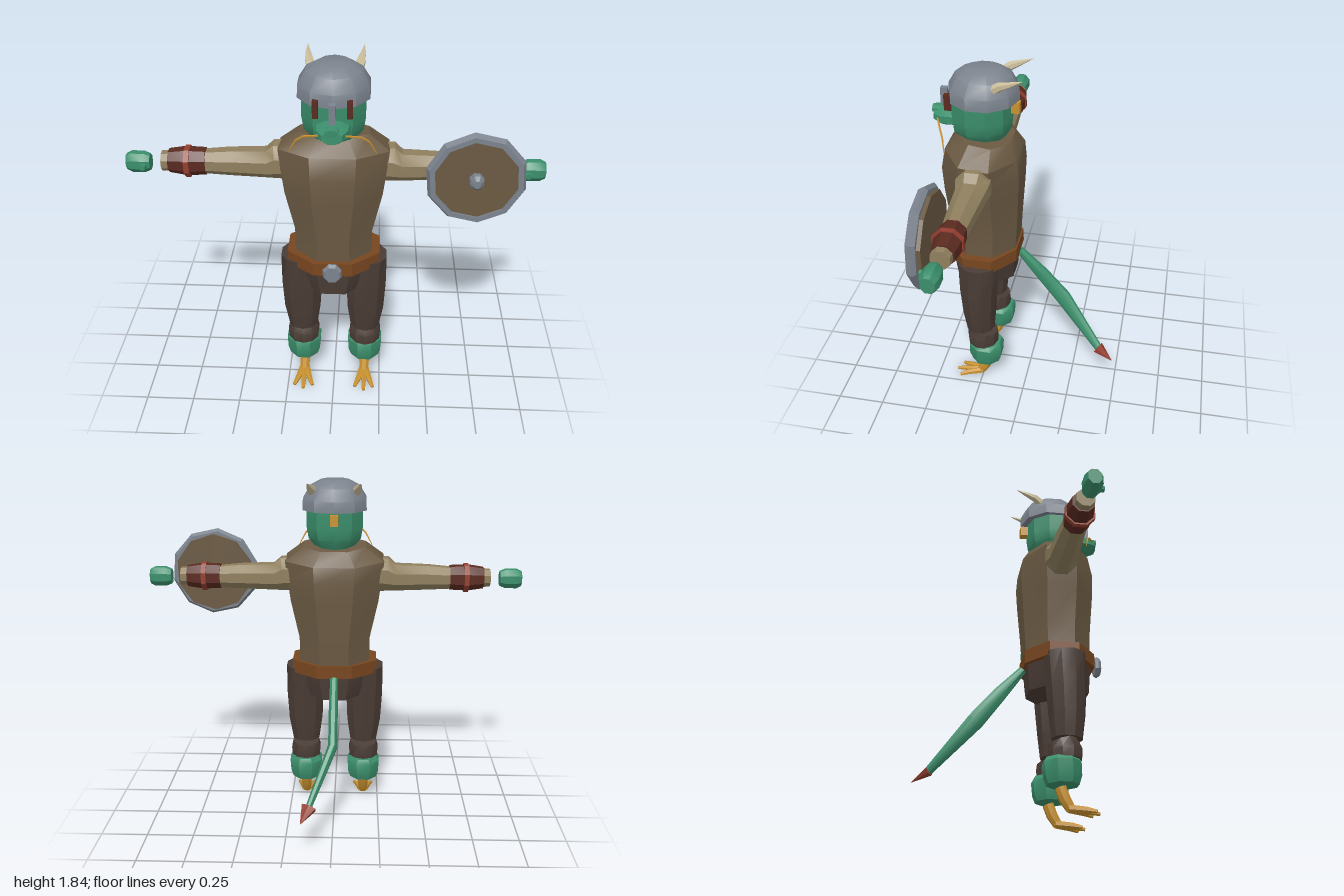
import * as THREE from 'three';
import { toCreasedNormals } from 'three/addons/utils/BufferGeometryUtils.js';

const mat = (name, color) => Object.assign(new THREE.MeshStandardMaterial({ color }), { name });

// Closed loft through rings [x, y, z, radiusU, radiusV]; "ref" roughly gives the U direction.
function loft(rings, sides = 8, ref = [1, 0, 0], crease = 0.6) {
  const P = rings.map(r => new THREE.Vector3(r[0], r[1], r[2]));
  const pos = [], idx = [];
  const half = Math.PI / sides;
  const fit = sides === 8 ? 1 / Math.cos(half) : 1;
  rings.forEach((r, i) => {
    const t = P[Math.min(i + 1, P.length - 1)].clone().sub(P[Math.max(i - 1, 0)]).normalize();
    const u = new THREE.Vector3(...ref);
    u.addScaledVector(t, -u.dot(t)).normalize();
    const v = t.clone().cross(u);
    for (let j = 0; j < sides; j++) {
      const a = half * (2 * j + 1);
      const p = P[i].clone()
        .addScaledVector(u, Math.cos(a) * r[3] * fit)
        .addScaledVector(v, Math.sin(a) * (r[4] ?? r[3]) * fit);
      pos.push(p.x, p.y, p.z);
    }
  });
  const n = rings.length, c0 = n * sides, c1 = c0 + 1;
  pos.push(...P[0].toArray(), ...P[n - 1].toArray());
  for (let j = 0; j < sides; j++) {
    const k = (j + 1) % sides;
    for (let i = 0; i < n - 1; i++) {
      const a = i * sides + j, b = i * sides + k;
      idx.push(a, b, b + sides, a, b + sides, a + sides);
    }
    idx.push(c0, k, j, c1, (n - 1) * sides + j, (n - 1) * sides + k);
  }
  const g = new THREE.BufferGeometry();
  g.setAttribute('position', new THREE.Float32BufferAttribute(pos, 3));
  g.setIndex(idx);
  return toCreasedNormals(g, crease);
}

export function createModel() {
  const model = new THREE.Group();
  model.name = 'lizardWarrior';
  const M = {
    tunic: mat('tunic brown', 0x6b5a43),
    sleeve: mat('sleeve tan', 0x8f7f5e),
    pants: mat('trouser brown', 0x4a3c35),
    skin: mat('skin green', 0x3b8f6c),
    steel: mat('steel grey', 0x7c838d),
    belt: mat('belt leather', 0x78461f),
    bracer: mat('bracer dark red', 0x5a2a20),
    red: mat('red trim', 0x943f30),
    yellow: mat('claw yellow', 0xc8912f),
    horn: mat('horn ivory', 0xcabd9a),
  };
  const add = (name, geo, m) => {
    const mesh = new THREE.Mesh(geo, m);
    mesh.name = name;
    model.add(mesh);
    return mesh;
  };
  const box = (name, m, w, h, d, x, y, z) =>
    add(name, new THREE.BoxGeometry(w, h, d), m).position.set(x, y, z);

  // Torso, belt and hips
  add('torso', loft([
    [0, 0.84, 0.235, 0.19, 0.165], [0, 1.0, 0.235, 0.19, 0.175], [0, 1.21, 0.237, 0.235, 0.19],
    [0, 1.33, 0.237, 0.25, 0.195], [0, 1.43, 0.23, 0.262, 0.18], [0, 1.505, 0.22, 0.165, 0.13],
  ]), M.tunic);
  add('belt', loft([[0, 0.8, 0.242, 0.23, 0.183], [0, 0.872, 0.242, 0.23, 0.183]]), M.belt);
  add('buckle', loft([
    [0, 0.84, 0.443, 0.04, 0.046], [0, 0.84, 0.458, 0.046, 0.053], [0, 0.84, 0.475, 0.036, 0.042],
  ]), M.steel);
  add('hips', loft([[0, 0.665, 0.24, 0.15, 0.155], [0, 0.74, 0.24, 0.18, 0.16], [0, 0.83, 0.24, 0.2, 0.165]]), M.pants);

  // Head, snout and helmet
  add('head', loft([
    [0, 1.485, 0.24, 0.1, 0.115], [0, 1.54, 0.242, 0.145, 0.148],
    [0, 1.6, 0.242, 0.155, 0.155], [0, 1.72, 0.242, 0.155, 0.155],
  ], 10), M.skin);
  add('snout', loft([
    [0, 1.585, 0.36, 0.075, 0.045], [0, 1.583, 0.43, 0.072, 0.045], [0, 1.585, 0.475, 0.045, 0.03],
  ]), M.skin);
  add('nose', loft([[0, 1.615, 0.42, 0.035, 0.02], [0, 1.61, 0.485, 0.028, 0.018]]), M.skin);
  add('helmet', loft([
    [0, 1.69, 0.228, 0.175, 0.175], [0, 1.75, 0.228, 0.173, 0.173],
    [0, 1.81, 0.226, 0.135, 0.14], [0, 1.842, 0.226, 0.075, 0.085],
  ], 10), M.steel);
  box('noseGuard', M.steel, 0.03, 0.105, 0.035, 0, 1.672, 0.425);
  box('hairTie', M.yellow, 0.042, 0.055, 0.045, 0, 1.652, 0.075);

  for (const s of [1, -1]) {
    const side = s > 0 ? 'left' : 'right';
    const put = (name, m, rings, sides, ref) =>
      add(side + name, loft(rings.map(([x, ...r]) => [x * s, ...r]), sides, ref), m);

    // Face details and helmet horns
    box(side + 'Eye', M.bracer, 0.026, 0.08, 0.04, s * 0.077, 1.685, 0.385);
    put('Horn', M.horn, [
      [0.105, 1.775, 0.165, 0.026], [0.12, 1.808, 0.12, 0.022],
      [0.128, 1.825, 0.07, 0.013], [0.133, 1.845, 0.015, 0.001],
    ], 6);
    put('Whisker', M.yellow, [
      [0.06, 1.585, 0.45, 0.005], [0.13, 1.565, 0.42, 0.005], [0.165, 1.535, 0.4, 0.005], [0.2, 1.47, 0.385, 0.002],
    ], 5, [0, 0, 1]);

    // Arm: U runs along z, V along y
    const z = [0, 0, 1];
    put('Sleeve', M.sleeve, [
      [0.2, 1.345, 0.23, 0.08, 0.09], [0.275, 1.345, 0.23, 0.085, 0.088], [0.32, 1.328, 0.23, 0.074, 0.07],
      [0.5, 1.328, 0.23, 0.064, 0.064], [0.62, 1.325, 0.23, 0.056, 0.056], [0.83, 1.325, 0.235, 0.045, 0.045],
    ], 8, z);
    put('Bracer', M.bracer, [
      [0.615, 1.326, 0.232, 0.06, 0.062], [0.71, 1.326, 0.232, 0.065, 0.066], [0.795, 1.326, 0.232, 0.053, 0.054],
    ], 8, z);
    put('BracerRing', M.red, [[0.69, 1.325, 0.234, 0.072], [0.715, 1.325, 0.234, 0.072]], 8, z);
    put('Hand', M.skin, [
      [0.885, 1.32, 0.24, 0.034, 0.038], [0.915, 1.32, 0.24, 0.043, 0.05],
      [0.975, 1.32, 0.24, 0.043, 0.05], [1.0, 1.32, 0.24, 0.032, 0.038],
    ], 8, z);
    put('Thumb', M.skin, [[0.915, 1.315, 0.26, 0.022], [0.915, 1.315, 0.3, 0.015]], 6);

    // Leg
    put('Thigh', M.pants, [
      [0.163, 0.375, 0.252, 0.078, 0.078], [0.165, 0.5, 0.255, 0.098, 0.093],
      [0.166, 0.66, 0.255, 0.106, 0.105], [0.172, 0.825, 0.25, 0.1, 0.11],
    ], 10);
    put('Shin', M.pants, [[0.165, 0.27, 0.24, 0.082, 0.083], [0.165, 0.32, 0.24, 0.086, 0.088], [0.165, 0.365, 0.228, 0.074, 0.072]], 10);
    put('Cuff', M.skin, [
      [0.165, 0.145, 0.225, 0.074, 0.075], [0.165, 0.185, 0.225, 0.086, 0.088],
      [0.165, 0.255, 0.222, 0.09, 0.09], [0.165, 0.275, 0.222, 0.074, 0.078],
    ]);
    put('Ankle', M.yellow, [[0.165, 0.135, 0.212, 0.027], [0.165, 0.08, 0.232, 0.027], [0.165, 0.033, 0.26, 0.022]]);
    [-1, 0, 1].forEach((k, i) => put('Toe' + (i + 1), M.yellow, [
      [0.165 + k * 0.01, 0.035, 0.25, 0.018], [0.165 + k * 0.032, 0.025, 0.33, 0.015],
      [0.165 + k * 0.05, 0.014, 0.4 - Math.abs(k) * 0.025, 0.009],
    ], 6));
  }

  // Tail with arrow tip
  add('tail', loft([
    [0, 0.8, 0.06, 0.02, 0.02], [0, 0.66, -0.06, 0.024, 0.036],
    [0, 0.51, -0.18, 0.024, 0.043], [0.12, 0.265, -0.41, 0.015, 0.02],
  ]), M.skin);
  add('tailTip', loft([[0.115, 0.272, -0.4, 0.044, 0.026], [0.155, 0.222, -0.485, 0.001]], 6), M.red);

  // Shield: wooden disc, steel rim and boss
  const shield = new THREE.Group();
  shield.name = 'shield';
  shield.position.set(0.665, 1.325, 0);
  model.add(shield);
  const rimPath = [[0.205, 0.325], [0.225, 0.325], [0.24, 0.343], [0.225, 0.37], [0.2, 0.37], [0.205, 0.325]];
  const rim = new THREE.LatheGeometry(rimPath.map(p => new THREE.Vector2(...p)), 10, 0.1);
  rim.rotateX(Math.PI / 2);
  const parts = [
    ['shieldWood', loft([[0, 0, 0.306, 0.21], [0, 0, 0.357, 0.21]], 10), M.tunic],
    ['shieldRim', toCreasedNormals(rim, 0.4), M.steel],
    ['shieldBoss', loft([[0, 0, 0.35, 0.034, 0.037], [0, 0, 0.385, 0.032, 0.035], [0, 0, 0.405, 0.016, 0.018]]), M.steel],
  ];
  for (const [name, geo, m] of parts) {
    const mesh = new THREE.Mesh(geo, m);
    mesh.name = name;
    shield.add(mesh);
  }
  M.steel.side = THREE.DoubleSide;
  return model;
}
